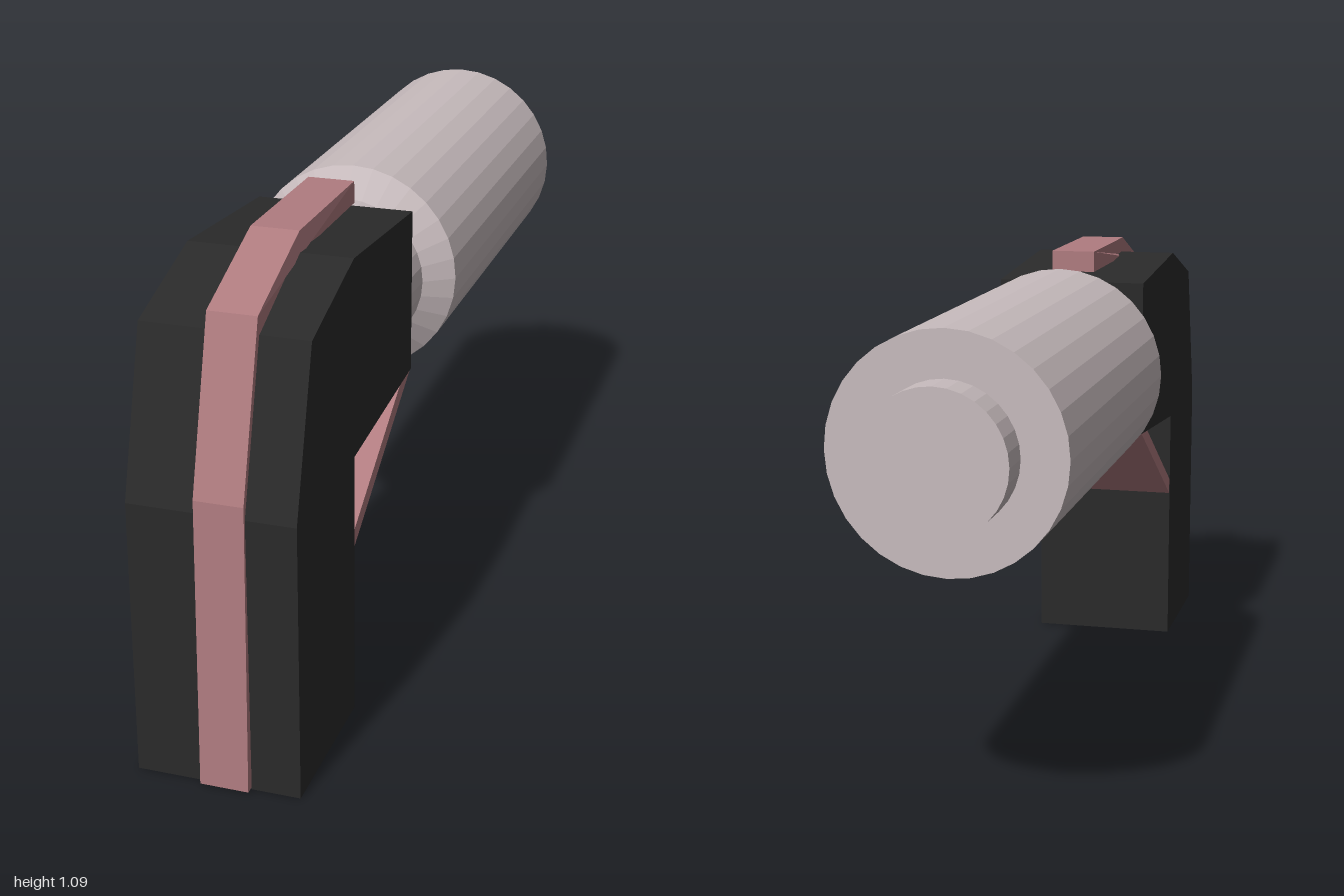
import * as THREE from 'three';

const dark = new THREE.MeshStandardMaterial({ color: 0x2a2a2a, flatShading: true });
const rose = new THREE.MeshStandardMaterial({ color: 0xb07c80, flatShading: true });
const pale = new THREE.MeshStandardMaterial({ color: 0xc8bcbe, flatShading: true });

// Side profile given as [z, y] points, extruded across x from x0 to x1
function slab(profile, x0, x1) {
  const shape = new THREE.Shape(profile.map(([z, y]) => new THREE.Vector2(z, y)));
  const geometry = new THREE.ExtrudeGeometry(shape, { depth: x1 - x0, bevelEnabled: false });
  return geometry.rotateY(-Math.PI / 2).translate(x1, 0, 0);
}

export function createModel() {
  const model = new THREE.Group();
  model.name = 'angledHandle';
  const add = (name, geometry, material) => {
    const mesh = new THREE.Mesh(geometry, material);
    mesh.name = name;
    model.add(mesh);
    return mesh;
  };

  // Bent dark body
  add('body', slab([
    [0.98, 0], [0.98, 0.62], [0.88, 0.97], [0.62, 1.05],
    [0.2, 1.02], [0.2, 0.645], [0.62, 0.61], [0.62, 0],
  ], -0.175, 0.185), dark);

  // Raised strip over the front and top, drifting slightly sideways on top
  const strip = slab([
    [1.0, 0.005], [0.985, 0.65], [0.885, 1.01], [0.6, 1.09], [0.24, 1.09],
    [0.24, 1.04], [0.6, 1.04], [0.865, 0.955], [0.965, 0.62], [0.97, 0.005],
  ], -0.028, 0.078);
  const p = strip.attributes.position;
  for (let i = 0; i < p.count; i++) {
    const t = THREE.MathUtils.clamp((0.865 - p.getZ(i)) / 0.265, 0, 1);
    p.setX(i, p.getX(i) - 0.015 * t);
  }
  strip.computeVertexNormals();
  add('strip', strip, rose);

  // Diagonal brace under the bend
  add('brace', slab([
    [0.63, 0.39], [0.63, 0.43], [0.27, 0.645], [0.2, 0.647],
  ], -0.174, 0.184), rose);

  // Round barrel: end stub, main cylinder, tapered shoulder and neck
  const profile = [
    [0, -1], [0.15, -1], [0.15, -0.915], [0.248, -0.915],
    [0.248, 0.055], [0.182, 0.1], [0.18, 0.205], [0, 0.205],
  ].map(([r, z]) => new THREE.Vector2(r, z));
  const barrel = add('barrel', new THREE.LatheGeometry(profile, 32).rotateX(Math.PI / 2), pale);
  barrel.position.y = 0.82;

  return model;
}
